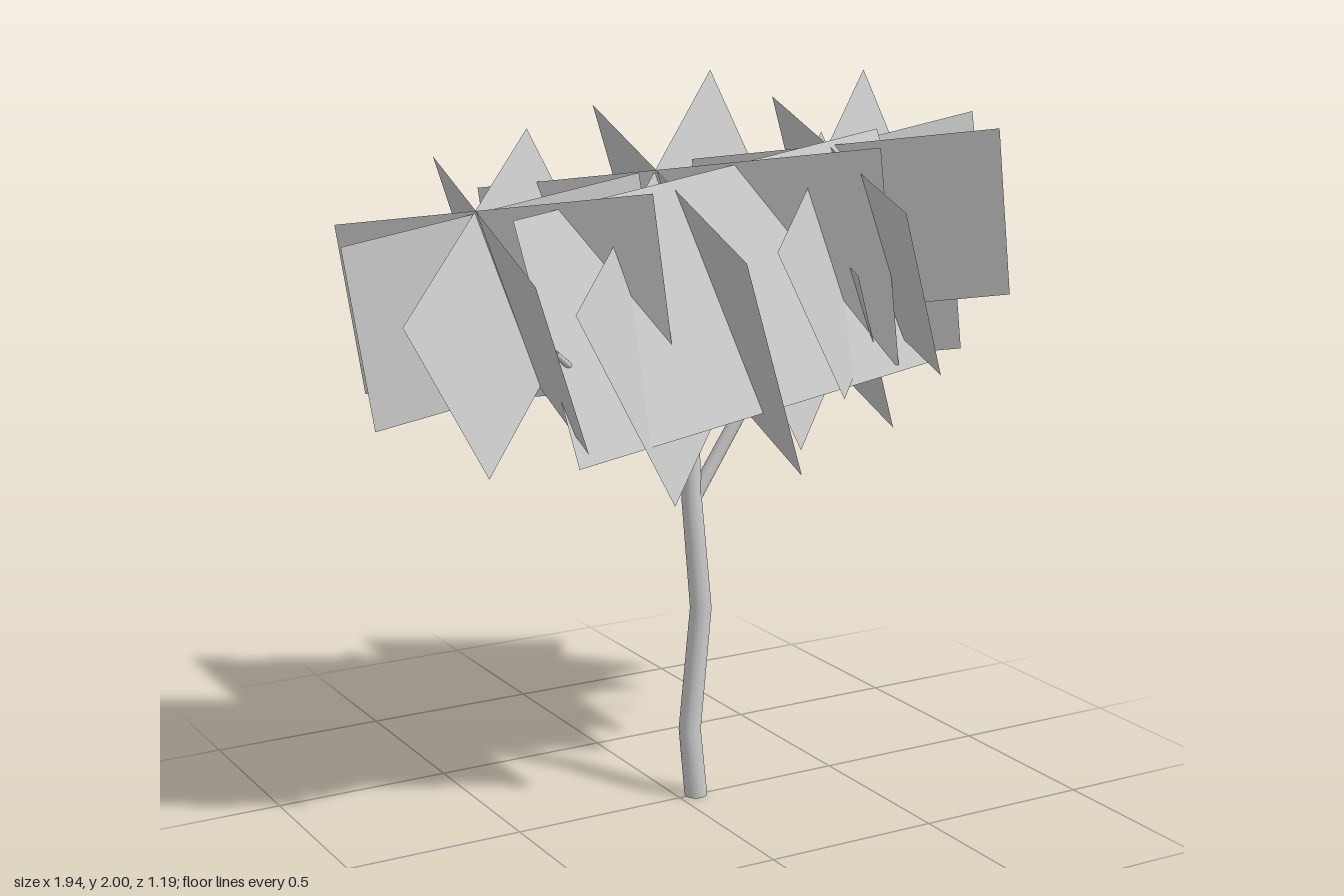
import * as THREE from 'three';

const SIDES = 12;

// Tapered limb: rings swept along a bent path of [x, y, z, radius] points
function limb(name, path, material) {
  const pts = path.map(p => new THREE.Vector3(p[0], p[1], p[2]));
  const pos = [], index = [];
  const ref = new THREE.Vector3(0, 0, 1);
  pts.forEach((p, i) => {
    const dir = pts[Math.min(i + 1, pts.length - 1)].clone().sub(pts[Math.max(i - 1, 0)]).normalize();
    const u = new THREE.Vector3().crossVectors(dir, ref).normalize();
    const v = new THREE.Vector3().crossVectors(dir, u);
    for (let k = 0; k < SIDES; k++) {
      const a = (k / SIDES) * Math.PI * 2;
      const q = p.clone().addScaledVector(u, Math.cos(a) * path[i][3]).addScaledVector(v, Math.sin(a) * path[i][3]);
      pos.push(q.x, Math.max(0, q.y), q.z);
      if (i) {
        const n = (k + 1) % SIDES, r0 = (i - 1) * SIDES, r1 = i * SIDES;
        index.push(r0 + k, r0 + n, r1 + k, r0 + n, r1 + n, r1 + k);
      }
    }
  });
  const geo = new THREE.BufferGeometry();
  geo.setAttribute('position', new THREE.Float32BufferAttribute(pos, 3));
  geo.setIndex(index);
  geo.computeVertexNormals();
  const mesh = new THREE.Mesh(geo, material);
  mesh.name = name;
  return mesh;
}

// Flat leaf card from the two ends of its top edge and its downward vector
function leafCard(a, b, d, material) {
  const add = (p, q) => p.map((n, i) => n + q[i]);
  const geo = new THREE.BufferGeometry();
  geo.setAttribute('position', new THREE.Float32BufferAttribute([a, add(a, d), add(b, d), b].flat(), 3));
  geo.setIndex([0, 1, 2, 0, 2, 3]);
  geo.computeVertexNormals();
  const mesh = new THREE.Mesh(geo, material);
  mesh.name = 'leafCard';
  return mesh;
}

// Four cards crossing at the cluster's top point
const CARDS = [
  [[-0.065, -0.155, 0.585], [0.065, 0.13, -0.465], [0.245, -0.59, -0.125]],
  [[-0.41, -0.29, 0.345], [0.33, 0.23, -0.27], [0.32, -0.545, -0.07]],
  [[-0.38, -0.05, -0.275], [0.48, 0.07, 0.35], [0.12, -0.6, -0.07]],
  [[-0.47, -0.08, 0], [0.62, 0.09, 0], [0.1, -0.62, 0]],
];

export function createModel() {
  const bark = new THREE.MeshStandardMaterial({ color: 0xcccccc, side: THREE.DoubleSide });
  bark.name = 'bark grey';
  const leaf = bark;
  const tree = new THREE.Group();
  tree.name = 'tree';

  // Trunk with its cut base
  tree.add(limb('trunk', [
    [0.052, 0, 0, 0.032], [0.032, 0.2, 0, 0.031], [0.067, 0.55, 0, 0.03],
    [0.037, 0.87, 0, 0.028], [0.03, 1.12, 0, 0.024], [0, 1.38, 0, 0.012],
  ], bark));
  const base = new THREE.Mesh(new THREE.CircleGeometry(0.032, SIDES), bark);
  base.name = 'trunkBase';
  base.rotation.x = Math.PI / 2;
  base.position.set(0.052, 0.001, 0);
  tree.add(base);

  // Branches and twigs
  [
    [[0.04, 0.86, 0, 0.02], [0.22, 1.17, 0.03, 0.018], [0.38, 1.42, 0.12, 0.012]],
    [[0.22, 1.17, 0.03, 0.016], [0.42, 1.28, 0.1, 0.013], [0.62, 1.38, 0.17, 0.008]],
    [[0.22, 1.17, 0.03, 0.016], [0.4, 1.3, -0.1, 0.012], [0.55, 1.4, -0.2, 0.007]],
    [[0.03, 1.02, 0, 0.018], [-0.18, 1.14, 0.01, 0.016], [-0.28, 1.2, 0.1, 0.013], [-0.5, 1.37, 0.25, 0.008]],
    [[-0.18, 1.14, 0.01, 0.015], [-0.57, 1.3, -0.14, 0.012], [-0.7, 1.36, -0.17, 0.007]],
  ].forEach(path => tree.add(limb('branch', path, bark)));

  // Leaf clusters: top point, scale, outward lean of the front card and its offset
  [
    [[-0.6, 1.7, 0], 0.77, 0, 0],
    [[-0.08, 1.77, 0], 1, 0.155, 0.125],
    [[0.385, 1.82, 0.115], 0.77, 0, 0],
    [[0.42, 1.62, -0.15], 0.77, 0, 0],
  ].forEach(([point, scale, lean, offset]) => {
    const cluster = new THREE.Group();
    cluster.name = 'leafCluster';
    CARDS.forEach(([a, b, d], i) => {
      const o = i === 3 ? offset : 0, l = i === 3 ? lean : 0;
      cluster.add(leafCard([a[0], a[1], a[2] + o], [b[0], b[1], b[2] + o], [d[0], d[1], d[2] + l], leaf));
    });
    cluster.position.set(...point);
    cluster.scale.setScalar(scale);
    tree.add(cluster);
  });
  return tree;
}
